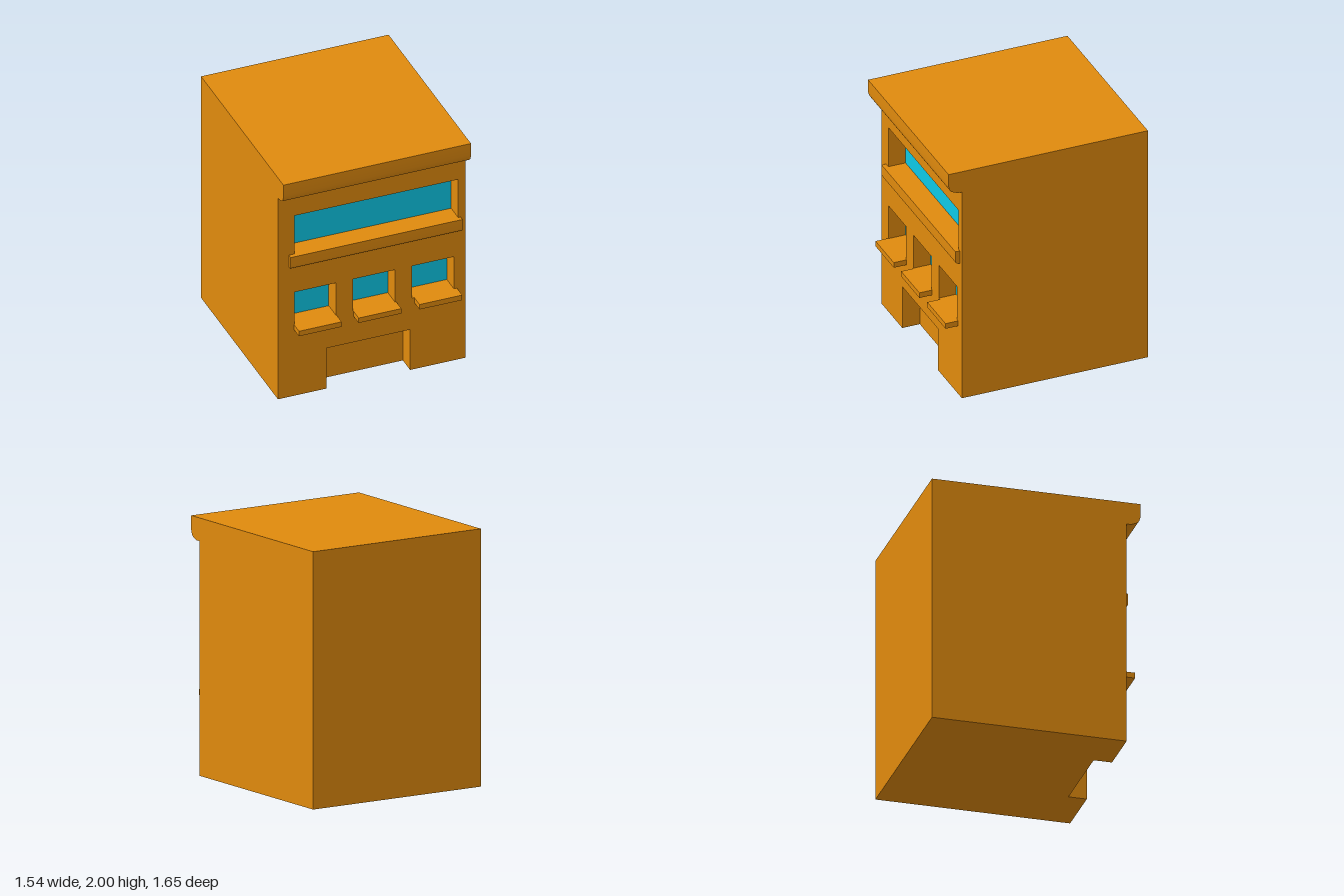
import * as THREE from 'three';
import { toCreasedNormals } from 'three/addons/utils/BufferGeometryUtils.js';

const HALF_W = 0.77, HEIGHT = 2, BACK = -0.825, FRONT = 0.715, RECESS = 0.145;
const INNER = FRONT - RECESS;

const wallMaterial = new THREE.MeshStandardMaterial({ color: 0xe08a0d });
const glassMaterial = new THREE.MeshStandardMaterial({ color: 0x0dc8e6 });

// Openings and ledges as [x0, x1, y0, y1]
const windows = [
  [-0.635, 0.71, 1.28, 1.625],
  [-0.635, -0.295, 0.645, 0.935],
  [-0.155, 0.19, 0.645, 0.935],
  [0.33, 0.675, 0.645, 0.935],
];
const sills = [
  [-0.64, -0.29, 0.6, 0.645],
  [-0.15, 0.2, 0.6, 0.645],
  [0.35, 0.7, 0.6, 0.645],
];
const door = [-0.37, 0.315, 0, 0.365];

function block(name, [x0, x1, y0, y1], z0, z1, material) {
  const mesh = new THREE.Mesh(new THREE.BoxGeometry(x1 - x0, y1 - y0, z1 - z0), material);
  mesh.position.set((x0 + x1) / 2, (y0 + y1) / 2, (z0 + z1) / 2);
  mesh.name = name;
  return mesh;
}

// Sweeps a (z, y) profile along x from x0 to x1
function moulding(name, profile, x0, x1) {
  const geometry = new THREE.ExtrudeGeometry(profile, { depth: x1 - x0, bevelEnabled: false, curveSegments: 6 });
  geometry.rotateY(-Math.PI / 2);
  geometry.translate(x1, 0, 0);
  const mesh = new THREE.Mesh(toCreasedNormals(geometry, 0.6), wallMaterial);
  mesh.name = name;
  return mesh;
}

function facade() {
  // Outline with the doorway cut into its lower edge
  const [d0, d1, , dTop] = door;
  const shape = new THREE.Shape([
    [-HALF_W, 0], [d0, 0], [d0, dTop], [d1, dTop], [d1, 0],
    [HALF_W, 0], [HALF_W, HEIGHT], [-HALF_W, HEIGHT],
  ].map(([x, y]) => new THREE.Vector2(x, y)));
  for (const [x0, x1, y0, y1] of windows) {
    shape.holes.push(new THREE.Path([[x0, y0], [x0, y1], [x1, y1], [x1, y0]]
      .map(([x, y]) => new THREE.Vector2(x, y))));
  }
  const geometry = new THREE.ExtrudeGeometry(shape, { depth: RECESS, bevelEnabled: false });
  geometry.translate(0, 0, INNER);
  const mesh = new THREE.Mesh(geometry, wallMaterial);
  mesh.name = 'frontWall';
  return mesh;
}

export function createModel() {
  const model = new THREE.Group();
  model.name = 'building';

  // Main volume and the pierced front wall
  model.add(block('buildingBody', [-HALF_W, HALF_W, 0, HEIGHT], BACK, INNER, wallMaterial));
  model.add(facade());

  // Glass at the back of each window recess
  windows.forEach((w, i) => model.add(
    block(i ? `smallWindow${i}` : 'wideWindow', w, INNER - 0.01, INNER + 0.003, glassMaterial)));

  // Flat sills below the small windows
  sills.forEach((s, i) => model.add(block(`windowSill${i + 1}`, s, FRONT, 0.82, wallMaterial)));

  // Rounded ledge below the wide window
  const ledge = new THREE.Shape();
  ledge.moveTo(FRONT, 1.28);
  ledge.lineTo(0.752, 1.28);
  ledge.lineTo(0.752, 1.2);
  ledge.quadraticCurveTo(0.752, 1.177, 0.737, 1.174);
  ledge.lineTo(FRONT, 1.17);
  model.add(moulding('wideWindowLedge', ledge, -0.68, 0.73));

  // Roof cornice with a curved underside
  const cornice = new THREE.Shape();
  cornice.moveTo(FRONT, HEIGHT);
  cornice.lineTo(0.825, HEIGHT);
  cornice.lineTo(0.825, 1.9);
  cornice.quadraticCurveTo(0.822, 1.865, 0.803, 1.842);
  cornice.lineTo(0.75, 1.82);
  cornice.lineTo(FRONT, 1.82);
  model.add(moulding('roofCornice', cornice, -HALF_W, HALF_W));

  return model;
}
